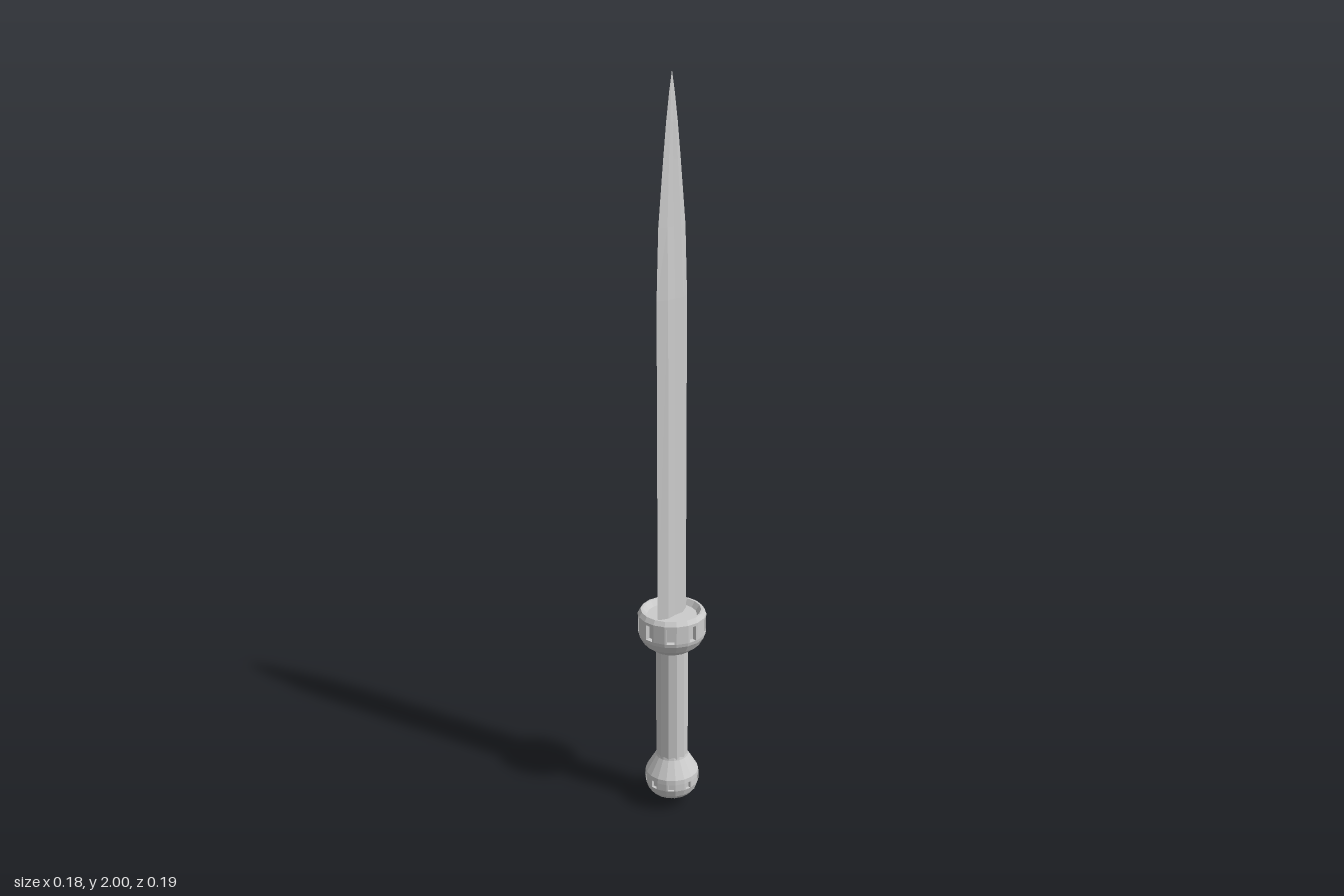
import * as THREE from 'three';

const SIDES = 18;
const material = new THREE.MeshStandardMaterial({ color: 0xcccccc, flatShading: true, side: THREE.DoubleSide });

function add(parent, name, geometry) {
  const mesh = new THREE.Mesh(geometry, material);
  mesh.name = name;
  parent.add(mesh);
}

// Turned part from [radius, height] pairs, listed bottom to top
function turned(points, sides = SIDES) {
  return new THREE.LatheGeometry(points.map(([r, y]) => new THREE.Vector2(r, y)), sides);
}

// Faceted collar with a notch cut into every second side
function notchedBand(radius, depth, bottom, top, notch) {
  const shape = new THREE.Shape();
  const corner = (i) => new THREE.Vector2(Math.sin(i * 2 * Math.PI / SIDES), Math.cos(i * 2 * Math.PI / SIDES)).multiplyScalar(radius);
  const points = [];
  for (let i = 0; i < SIDES; i++) {
    const a = corner(i), b = corner(i + 1);
    points.push(a);
    if (i % 2 === 0) continue;
    const inward = a.clone().add(b).normalize().multiplyScalar(-depth);
    const p = a.clone().lerp(b, 0.5 - notch / 2), q = a.clone().lerp(b, 0.5 + notch / 2);
    points.push(p, p.clone().add(inward), q.clone().add(inward), q);
  }
  shape.setFromPoints(points);
  const geometry = new THREE.ExtrudeGeometry(shape, { depth: top - bottom, bevelEnabled: false });
  return geometry.rotateX(Math.PI / 2).translate(0, top, 0);
}

// Blade lofted through shallow-grooved hexagonal sections
function bladeGeometry() {
  const levels = [ // height, half width, half thickness
    [0.57, 0.057, 0.014], [1.45, 0.057, 0.013], [1.63, 0.05, 0.008],
    [1.79, 0.032, 0.005], [1.88, 0.021, 0.004], [1.95, 0.01, 0.002], [2, 0, 0],
  ];
  const section = [[1, 0], [0.5, 1], [0, 0.85], [-0.5, 1], [-1, 0], [-0.5, -1], [0, -0.85], [0.5, -1]];
  const n = section.length, positions = [], index = [];
  for (const [y, w, t] of levels) for (const [x, z] of section) positions.push(x * w, y, z * t);
  for (let l = 0; l < levels.length - 1; l++) {
    for (let i = 0; i < n; i++) {
      const a = l * n + i, b = l * n + (i + 1) % n;
      index.push(a, a + n, b, b, a + n, b + n);
    }
  }
  const geometry = new THREE.BufferGeometry();
  geometry.setAttribute('position', new THREE.Float32BufferAttribute(positions, 3));
  geometry.setIndex(index);
  geometry.computeVertexNormals();
  return geometry;
}

export function createModel() {
  const model = new THREE.Group();
  model.name = 'sword';
  add(model, 'blade', bladeGeometry());

  // Guard: bowl, notched collar and dished rim
  const guard = new THREE.Group();
  guard.name = 'guard';
  model.add(guard);
  add(guard, 'guardBowl', turned([[0.04, 0.478], [0.055, 0.482], [0.078, 0.5], [0.091, 0.522], [0.093, 0.532], [0, 0.532]]));
  add(guard, 'guardCollar', notchedBand(0.093, 0.014, 0.532, 0.575, 0.65));
  add(guard, 'guardRim', turned([[0, 0.575], [0.093, 0.575], [0.093, 0.583], [0.085, 0.595], [0.079, 0.595], [0.068, 0.58], [0, 0.58]]));

  add(model, 'grip', new THREE.CylinderGeometry(0.045, 0.045, 0.35, 12).translate(0, 0.315, 0));

  // Pommel: flared neck, notched collar, tapered base and spike
  const pommel = new THREE.Group();
  pommel.name = 'pommel';
  model.add(pommel);
  add(pommel, 'pommelNeck', turned([[0, 0.09], [0.075, 0.09], [0.074, 0.103], [0.046, 0.15], [0.044, 0.158]]));
  add(pommel, 'pommelCollar', notchedBand(0.075, 0.008, 0.07, 0.09, 0.6));
  add(pommel, 'pommelBase', turned([[0, 0.038], [0.058, 0.038], [0.068, 0.05], [0.075, 0.07], [0, 0.07]]));
  add(pommel, 'pommelSpike', turned([[0, 0], [0.025, 0.038]], 4));
  return model;
}
